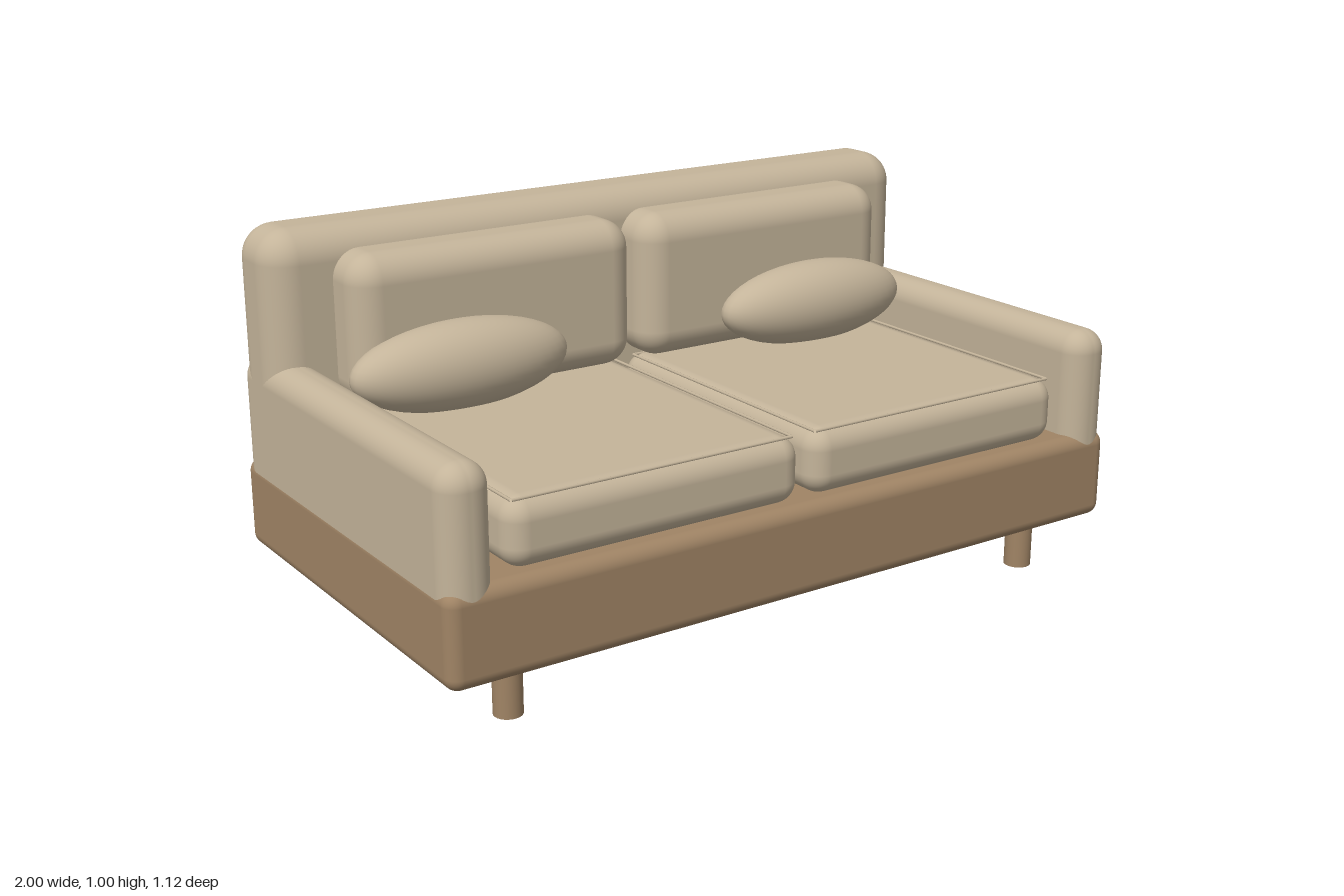
import * as THREE from 'three';
import { RoundedBoxGeometry } from 'three/addons/geometries/RoundedBoxGeometry.js';

export function createModel() {
  const sofa = new THREE.Group();
  sofa.name = 'sofa';

  const fabric = new THREE.MeshStandardMaterial({ color: 0xc4b49a });
  fabric.name = 'beige fabric';
  const wood = new THREE.MeshStandardMaterial({ color: 0xa08465 });
  wood.name = 'brown wood';

  function add(name, geometry, material, x = 0, y = 0, z = 0) {
    const mesh = new THREE.Mesh(geometry, material);
    mesh.name = name;
    mesh.position.set(x, y, z);
    sofa.add(mesh);
    return mesh;
  }

  // Rounded block given by its lower and upper corners
  function block(name, material, radius, [x0, y0, z0], [x1, y1, z1]) {
    const geometry = new RoundedBoxGeometry(x1 - x0, y1 - y0, z1 - z0, 6, radius);
    return add(name, geometry, material, (x0 + x1) / 2, (y0 + y1) / 2, (z0 + z1) / 2);
  }

  // Base and backrest; upholstery sits a hair inside the base walls
  block('base', wood, 0.035, [-1, 0.135, -0.56], [1, 0.375, 0.56]);
  block('backrest', fabric, 0.085, [-0.999, 0.18, -0.559], [0.999, 1, -0.33]);

  for (const side of [1, -1]) {
    const label = side > 0 ? 'left' : 'right';
    // Blocks described on +x and mirrored by moving their centre
    const mirrored = (name, radius, a, b) => {
      block(label + name, fabric, radius, a, b).position.x *= side;
    };
    mirrored('Arm', 0.06, [0.87, 0.18, -0.559], [0.999, 0.66, 0.559]);
    mirrored('SeatCushion', 0.055, [0.015, 0.373, -0.34], [0.83, 0.545, 0.535]);
    mirrored('BackCushion', 0.075, [0.015, 0.545, -0.4], [0.83, 0.943, -0.2]);

    // Fine piping around the seat top
    const x0 = 0.035, x1 = 0.81, z0 = -0.3, z1 = 0.51;
    const piping = new THREE.CurvePath();
    const corners = [[x0, z0], [x1, z0], [x1, z1], [x0, z1], [x0, z0]]
      .map(([x, z]) => new THREE.Vector3(x * side, 0.542, z));
    for (let i = 0; i < 4; i++) piping.add(new THREE.LineCurve3(corners[i], corners[i + 1]));
    piping.curves.forEach((edge) =>
      add(label + 'SeatPiping', new THREE.TubeGeometry(edge, 1, 0.004, 8), fabric));

    // Oval throw pillow
    const pillow = add(label + 'Pillow', new THREE.SphereGeometry(1, 40, 24), fabric,
      0.56 * side, 0.645, -0.18);
    pillow.scale.set(0.305, 0.116, 0.11);

    // Front and back legs
    for (const end of [1, -1]) {
      add(label + (end > 0 ? 'FrontLeg' : 'BackLeg'),
        new THREE.CylinderGeometry(0.036, 0.036, 0.15, 24), wood,
        0.8 * side, 0.075, 0.45 * end);
    }
  }
  return sofa;
}
